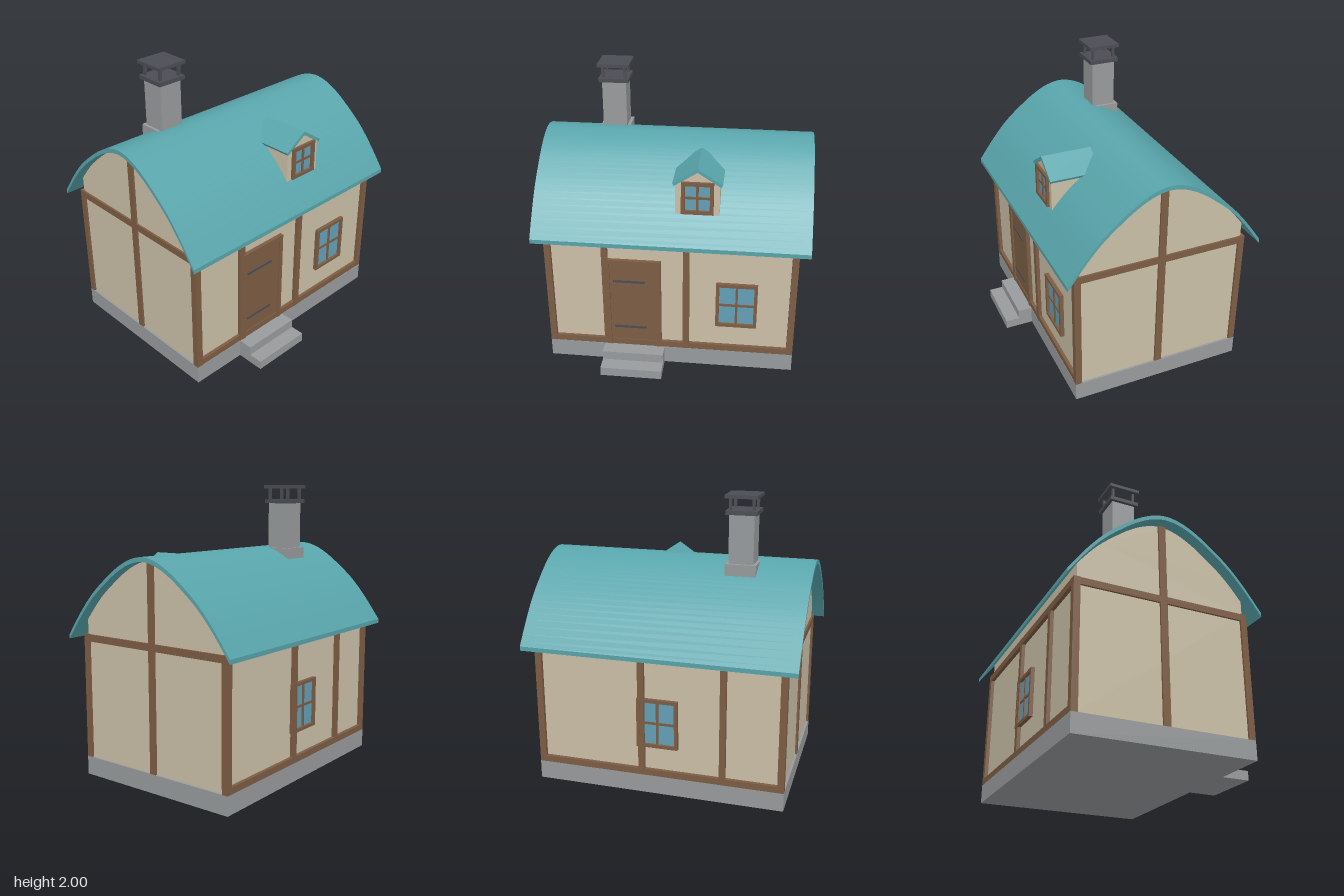
import * as THREE from 'three';
import { toCreasedNormals } from 'three/addons/utils/BufferGeometryUtils.js';

const material = (name, color) => Object.assign(new THREE.MeshStandardMaterial({ color }), { name });

export function createModel() {
  const teal = material('teal roof', 0x58a5ab);
  const plaster = material('cream plaster', 0xcbc0a8);
  const wood = material('brown timber', 0x7d5d44);
  const stone = material('grey stone', 0x989b9d);
  const glass = material('blue glass', 0x65a0b7);
  const iron = material('dark iron', 0x4c4d54);

  const house = new THREE.Group();
  house.name = 'cottage';
  const ZC = -0.06; // depth of the ridge and middle of the house

  const add = (name, geo, mat, parent = house) => {
    const mesh = new THREE.Mesh(geo, mat);
    mesh.name = name;
    parent.add(mesh);
    return mesh;
  };
  // Box given by its limits on each axis
  const box = (name, mat, x0, x1, y0, y1, z0, z1, parent) => {
    const mesh = add(name, new THREE.BoxGeometry(x1 - x0, y1 - y0, z1 - z0), mat, parent);
    mesh.position.set((x0 + x1) / 2, (y0 + y1) / 2, (z0 + z1) / 2);
    return mesh;
  };
  const extrude = (points, depth) =>
    new THREE.ExtrudeGeometry(new THREE.Shape(points), { depth, bevelEnabled: false });
  // Profile across the house, extruded along x
  const alongX = (points, halfLength) => extrude(points, halfLength * 2)
    .rotateY(Math.PI / 2).translate(-halfLength, 0, ZC);
  const v = (x, y) => new THREE.Vector2(x, y);

  // Stone base and steps
  box('foundation', stone, -0.865, 0.865, 0, 0.13, -0.675, 0.555);
  box('upperStep', stone, -0.47, -0.04, 0, 0.13, 0.54, 0.655);
  box('lowerStep', stone, -0.47, -0.04, 0, 0.065, 0.54, 0.755);

  // Plaster walls
  box('walls', plaster, -0.85, 0.85, 0.13, 1.0, -0.65, 0.53);

  // Curved roof section, highest at the ridge
  const half = [[0, 1.555], [0.105, 1.535], [0.21, 1.483], [0.315, 1.408],
    [0.45, 1.293], [0.57, 1.155], [0.685, 0.998]];
  const arch = new THREE.SplineCurve([
    ...half.slice(1).reverse().map(([d, y]) => v(-d, y)),
    ...half.map(([d, y]) => v(d, y)),
  ]).getPoints(48);
  const lower = arch.map((p) => v(p.x, p.y - 0.03));
  add('roof', toCreasedNormals(alongX([...lower, ...arch.slice().reverse()], 0.935), 0.4), teal);

  // Gable ends fill the space under the roof
  const under = lower.filter((p) => Math.abs(p.x) < 0.585);
  add('gables', alongX([v(-0.59, 0.99), v(0.59, 0.99), v(0.59, 1.1),
    ...under.slice().reverse(), v(-0.59, 1.1)], 0.85), plaster);

  // Timber frame on the front and back walls
  for (const [side, z0, z1] of [['front', 0.51, 0.555], ['back', -0.675, -0.63]]) {
    for (const [x0, x1] of [[-0.865, -0.82], [-0.47, -0.428], [0.09, 0.134], [0.82, 0.865]]) {
      box(side + 'Post', wood, x0, x1, 0.13, 1.0, z0, z1);
    }
    box(side + 'Sill', wood, -0.862, 0.862, 0.13, 0.175, z0, z1 - 0.002);
    box(side + 'TopBeam', wood, -0.862, 0.862, 0.95, 0.998, z0, z1 - 0.002);
  }
  // Timber frame on the gable ends
  for (const s of [-1, 1]) {
    const x0 = s > 0 ? 0.83 : -0.864;
    box('gableBeam', wood, x0, x0 + 0.034, 0.95, 0.998, -0.675, 0.555);
    box('gablePost', wood, x0, x0 + 0.034, 0.13, 1.528, ZC - 0.025, ZC + 0.025);
  }

  // Door with frame and iron straps
  const door = new THREE.Group();
  door.name = 'door';
  house.add(door);
  box('doorJamb', wood, -0.45, -0.418, 0.13, 0.83, 0.52, 0.558, door);
  box('doorJamb', wood, -0.092, -0.062, 0.13, 0.83, 0.52, 0.558, door);
  box('doorLintel', wood, -0.418, -0.092, 0.8, 0.83, 0.52, 0.558, door);
  box('doorPanel', wood, -0.418, -0.092, 0.175, 0.8, 0.52, 0.547, door);
  for (const y of [0.275, 0.652]) box('doorStrap', iron, -0.395, -0.17, y, y + 0.016, 0.546, 0.553, door);

  // Four-pane window, back on its local z = 0
  const makeWindow = (name, w, h, f, x, y, z, turn = 0) => {
    const g = new THREE.Group();
    g.name = name;
    const a = w / 2, b = h / 2, t = 0.027;
    for (const s of [-1, 1]) {
      const cx = s * (a - f / 2), cy = s * (b - f / 2);
      box('windowFrame', wood, cx - f / 2, cx + f / 2, -b, b, -0.01, t, g);
      box('windowFrame', wood, f - a, a - f, cy - f / 2, cy + f / 2, -0.01, t, g);
    }
    box('glazingBar', wood, -0.008, 0.008, f - b, b - f, 0, 0.018, g);
    box('glazingBar', wood, f - a, a - f, -0.008, 0.008, 0, 0.017, g);
    box('glassPane', glass, f - a, a - f, f - b, b - f, 0.001, 0.009, g);
    g.position.set(x, y, z);
    g.rotation.y = turn;
    house.add(g);
  };
  makeWindow('frontWindow', 0.285, 0.345, 0.023, 0.46, 0.513, 0.53);
  makeWindow('backWindow', 0.285, 0.345, 0.023, 0, 0.513, -0.65, Math.PI);

  // Dormer
  const DX = 0.178;
  add('dormerWalls', extrude([v(-0.147, 1.12), v(0.147, 1.12), v(0.147, 1.395),
    v(0, 1.492), v(-0.147, 1.395)], 0.29).translate(DX, 0, 0.2), plaster);
  add('dormerRoof', extrude([v(-0.165, 1.405), v(-0.155, 1.387), v(0, 1.488), v(0.155, 1.387),
    v(0.165, 1.405), v(0, 1.515)], 0.35).translate(DX, 0, 0.15), teal);
  makeWindow('dormerWindow', 0.215, 0.23, 0.025, DX, 1.303, 0.482);

  // Chimney with an iron cap on four legs
  const CX = -0.4625, CZ = -0.19;
  const square = (name, mat, r, y0, y1) => box(name, mat, CX - r, CX + r, y0, y1, CZ - r, CZ + r);
  square('chimneyBase', stone, 0.105, 1.38, 1.545);
  square('chimneyStack', stone, 0.084, 1.5, 1.87);
  square('chimneyCollar', iron, 0.105, 1.87, 1.898);
  square('chimneyCap', iron, 0.111, 1.977, 2.0);
  for (const sx of [-1, 1]) {
    for (const sz of [-1, 1]) {
      const x = CX + sx * 0.077, z = CZ + sz * 0.077;
      box('chimneyCapLeg', iron, x - 0.009, x + 0.009, 1.895, 1.98, z - 0.009, z + 0.009);
    }
  }
  return house;
}
